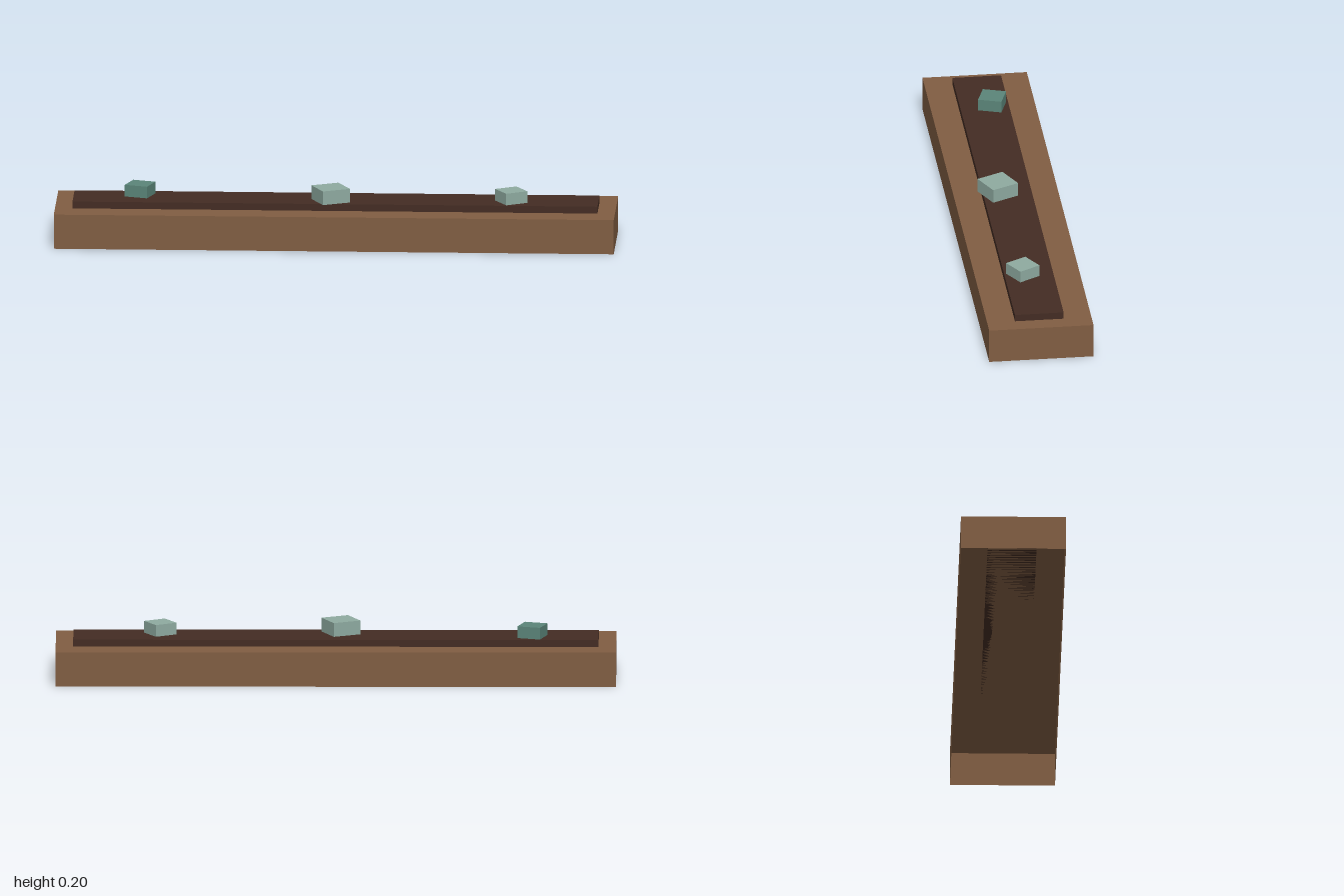
import * as THREE from 'three';

const material = (name, color, side = THREE.FrontSide) => {
  const m = new THREE.MeshStandardMaterial({ color, side });
  m.name = name;
  return m;
};

export function createModel() {
  const group = new THREE.Group();
  const wood = material('wood brown', 0x805d42, THREE.DoubleSide);
  const soil = material('dark soil', 0x432c23);
  const paleGreen = material('pale green', 0x8eaaa0);
  const deepGreen = material('deep green', 0x5b8579);

  // A block resting at height y
  const addBlock = (name, geometry, mat, height, x, y, z, turn = 0) => {
    const mesh = new THREE.Mesh(geometry, mat);
    mesh.name = name;
    mesh.position.set(x, y + height / 2, z);
    mesh.rotation.y = THREE.MathUtils.degToRad(turn);
    group.add(mesh);
  };

  // Planter: hollow shell, open underneath (the box's bottom face is dropped)
  const shell = new THREE.BoxGeometry(2, 0.125, 0.375);
  const index = Array.from(shell.index.array);
  index.splice(18, 6);
  shell.setIndex(index);
  shell.clearGroups();
  addBlock('planterBox', shell, wood, 0.125, 0, 0, 0);

  // Raised bed of soil
  addBlock('soilBed', new THREE.BoxGeometry(1.875, 0.025, 0.175), soil, 0.025, 0, 0.125, 0);

  // Small square plants, each turned a little
  const plants = [
    ['leftPlant', paleGreen, 0.085, 0.0425, 0.627, 0.022, 30],
    ['middlePlant', paleGreen, 0.105, 0.05, -0.0175, 0.0345, 25.5],
    ['rightPlant', deepGreen, 0.085, 0.0425, -0.701, -0.027, -18.4],
  ];
  for (const [name, mat, size, height, x, z, turn] of plants) {
    addBlock(name, new THREE.BoxGeometry(size, height, size), mat, height, x, 0.15, z, turn);
  }

  return group;
}
